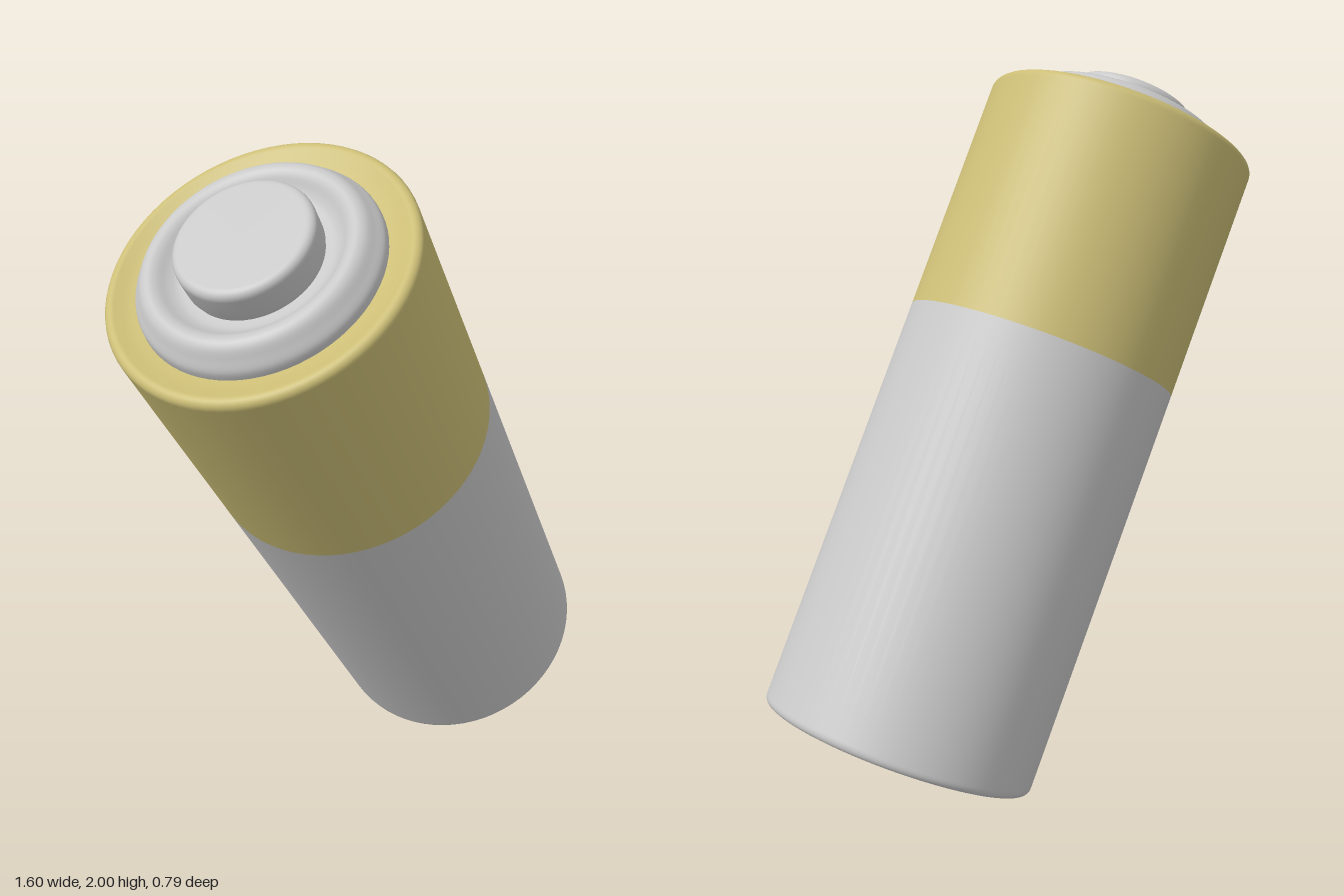
import * as THREE from 'three';

const R = 0.393; // body radius
const H = 0.936; // half length of the body
const SPLIT = 0.251; // where the two body colours meet

const silver = new THREE.MeshStandardMaterial({ color: 0xc8c8c8 });
silver.name = 'silver';
const gold = new THREE.MeshStandardMaterial({ color: 0xcbbd76 });
gold.name = 'gold';

// Quarter-round corner from angle a0 to a1 (degrees) about (r, y)
function corner(r, y, radius, a0, a1, steps = 6) {
  const out = [];
  for (let i = 0; i <= steps; i++) {
    const a = THREE.MathUtils.degToRad(a0 + ((a1 - a0) * i) / steps);
    out.push([r + radius * Math.cos(a), y + radius * Math.sin(a)]);
  }
  return out;
}

// Smooth curve through a few profile points
function smooth(points, divisions = 40) {
  const curve = new THREE.SplineCurve(points.map(([r, y]) => new THREE.Vector2(r, y)));
  return curve.getPoints(divisions).map((p) => [p.x, p.y]);
}

// Turned part, profile listed from bottom to top
function turned(name, profile, material) {
  const pts = profile.map(([r, y]) => new THREE.Vector2(Math.max(r, 0), y));
  const mesh = new THREE.Mesh(new THREE.LatheGeometry(pts, 72), material);
  mesh.name = name;
  return mesh;
}

export function createModel() {
  const battery = new THREE.Group();
  battery.name = 'battery';
  const b = 0.02; // edge rounding

  // Lower casing with flat base
  battery.add(turned('lowerCasing', [
    [0, -H], [R - b - 0.004, -H],
    ...corner(R - b, -H + b, b, -90, 0),
    [R, -H + b + 0.004], [R, SPLIT],
  ], silver));

  // Upper casing with a rounded rim sloping in to the cap
  battery.add(turned('upperCasing', [
    [R, SPLIT], [R, H - b - 0.004],
    ...corner(R - b, H - b, b, 0, 115, 8),
    [0.345, H - 0.011], [0.325, H - 0.018], [0.3, H - 0.022],
  ], gold));

  // Raised ring around the contact, dipping to a groove
  battery.add(turned('capRing', smooth([
    [0.31, 0.912], [0.307, 0.937], [0.292, 0.96], [0.275, 0.982],
    [0.255, 0.991], [0.235, 0.984], [0.212, 0.963], [0.19, 0.951], [0.155, 0.948],
  ]), silver));

  // Contact button
  const c = 0.02;
  battery.add(turned('contactButton', [
    [0.168, 0.945], [0.174, 0.965], [0.175, 1.042 - c - 0.003],
    ...corner(0.175 - c, 1.042 - c, c, 0, 90),
    [0.175 - c - 0.004, 1.042], [0, 1.042],
  ], silver));

  // Lean the whole battery over
  battery.rotation.z = Math.PI / 6;
  battery.position.y = 1;

  const model = new THREE.Group();
  model.name = 'model';
  model.add(battery);
  return model;
}
